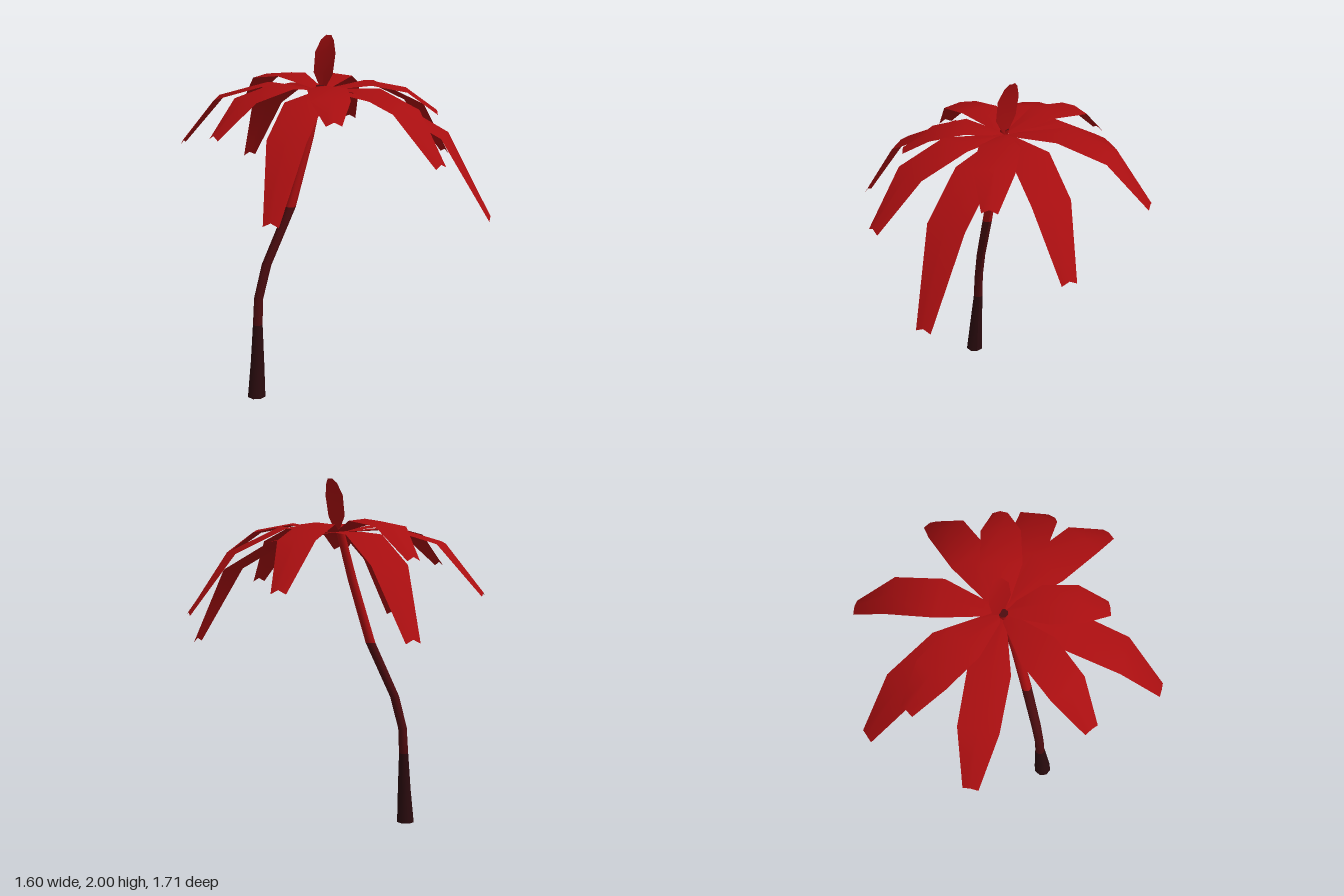
import * as THREE from 'three';

const mat = (name, color, side = THREE.FrontSide) => {
  const m = new THREE.MeshStandardMaterial({ color, side });
  m.name = name;
  return m;
};

// Indexed grid of points, rows of equal length, with smooth normals
function gridGeometry(rows) {
  const n = rows[0].length, index = [];
  for (let i = 0; i < rows.length - 1; i++) {
    for (let j = 0; j < n - 1; j++) {
      const a = i * n + j, c = a + n;
      index.push(a, c, a + 1, a + 1, c, c + 1);
    }
  }
  const g = new THREE.BufferGeometry();
  g.setAttribute('position', new THREE.Float32BufferAttribute(rows.flat(2), 3));
  g.setIndex(index);
  g.computeVertexNormals();
  return g;
}

// Trunk rings: x, y, z, radius
const RINGS = [
  [-0.425, 0.005, -0.147, 0.053],
  [-0.41, 0.2, -0.15, 0.041],
  [-0.393, 0.43, -0.158, 0.029],
  [-0.383, 0.58, -0.157, 0.027],
  [-0.335, 0.77, -0.138, 0.028],
  [-0.2, 1.09, -0.075, 0.029],
  [-0.09, 1.45, -0.042, 0.027],
  [-0.003, 1.735, -0.032, 0.024],
];
const SIDES = 8;

// Drooping fronds: tip x, tip z, then height at tip, bend and shoulder
const FRONDS = [
  [0.70, -0.405, 1.42, 1.67, 1.75],
  [0.785, 0.265, 1.28, 1.60, 1.73],
  [0.38, 0.835, 1.06, 1.50, 1.66],
  [0.42, 0.445, 1.58, 1.71, 1.75],
  [-0.05, 0.795, 1.41, 1.66, 1.74],
  [-0.36, 0.37, 1.61, 1.71, 1.75],
  [-0.785, 0.345, 1.19, 1.55, 1.69],
  [-0.67, -0.16, 1.52, 1.70, 1.75],
  [-0.385, -0.74, 1.38, 1.65, 1.73],
  [0.245, -0.85, 1.19, 1.55, 1.70],
  [0.07, -0.675, 1.57, 1.74, 1.77],
];
const HEART = { x: 0.01, y: 1.71, z: -0.025 };

function frondGeometry([tx, tz, yTip, yBend, yShoulder]) {
  const dx = tx - HEART.x, dz = tz - HEART.z, len = Math.hypot(dx, dz);
  const sx = dz / len, sz = -dx / len;
  // fraction of reach, height, half width, height of the midrib
  const sections = [
    [0.02, HEART.y, 0.022, 0.005],
    [0.39, yShoulder, 0.105, 0.012],
    [0.72, yBend, 0.102, 0.015],
    [1, yTip, 0.04, 0.02],
  ];
  return gridGeometry(sections.map(([t, y, w, rib]) => [-1, 0, 1].map((k) => [
    HEART.x + dx * t + sx * w * k,
    y + (k === 0 ? rib : 0),
    HEART.z + dz * t + sz * w * k,
  ])));
}

export function createModel() {
  const model = new THREE.Group();
  model.name = 'palmTree';
  const leafRed = mat('leafRed', 0xa80e10, THREE.DoubleSide);
  const barkRed = mat('barkRed', 0xa80e10);
  const barkMid = mat('barkMaroon', 0x4c0c0f);
  const barkDark = mat('barkDark', 0x2a0b0e);
  const add = (name, geometry, material, parent = model) => {
    const mesh = new THREE.Mesh(geometry, material);
    mesh.name = name;
    parent.add(mesh);
    return mesh;
  };

  // Bent trunk in three colour bands
  const trunk = gridGeometry(RINGS.map(([x, y, z, r]) =>
    Array.from({ length: SIDES + 1 }, (_, j) => {
      const a = ((j + 0.5) / SIDES) * Math.PI * 2;
      return [x + r * Math.cos(a), y, z + r * Math.sin(a)];
    })));
  const perRing = SIDES * 6;
  trunk.addGroup(0, 2 * perRing, 0);
  trunk.addGroup(2 * perRing, 3 * perRing, 1);
  trunk.addGroup(5 * perRing, 2 * perRing, 2);
  add('trunk', trunk, [barkDark, barkMid, barkRed]);

  // Trunk ends
  for (const [name, ring, turn, material] of [
    ['trunkBase', RINGS[0], Math.PI / 2, barkDark],
    ['trunkTop', RINGS[RINGS.length - 1], -Math.PI / 2, barkMid],
  ]) {
    const cap = add(name, new THREE.CircleGeometry(ring[3], SIDES, Math.PI / SIDES), material);
    cap.position.set(ring[0], ring[1], ring[2]);
    cap.rotation.x = turn;
  }

  // Crown of drooping fronds
  const crown = new THREE.Group();
  crown.name = 'crown';
  model.add(crown);
  for (const f of FRONDS) add('frond', frondGeometry(f), leafRed, crown);

  // Young upright leaf: x, y, half width
  const young = [
    [0.008, 1.71, 0.012], [0.012, 1.8, 0.068], [0.03, 1.91, 0.072],
    [0.048, 1.975, 0.045], [0.06, 2, 0.018],
  ];
  add('youngLeaf', gridGeometry(young.map(([x, y, w]) =>
    [-1, 0, 1].map((k) => [x + (k ? 0 : 0.005), y, -0.025 - w * k]))), leafRed, crown);

  return model;
}
